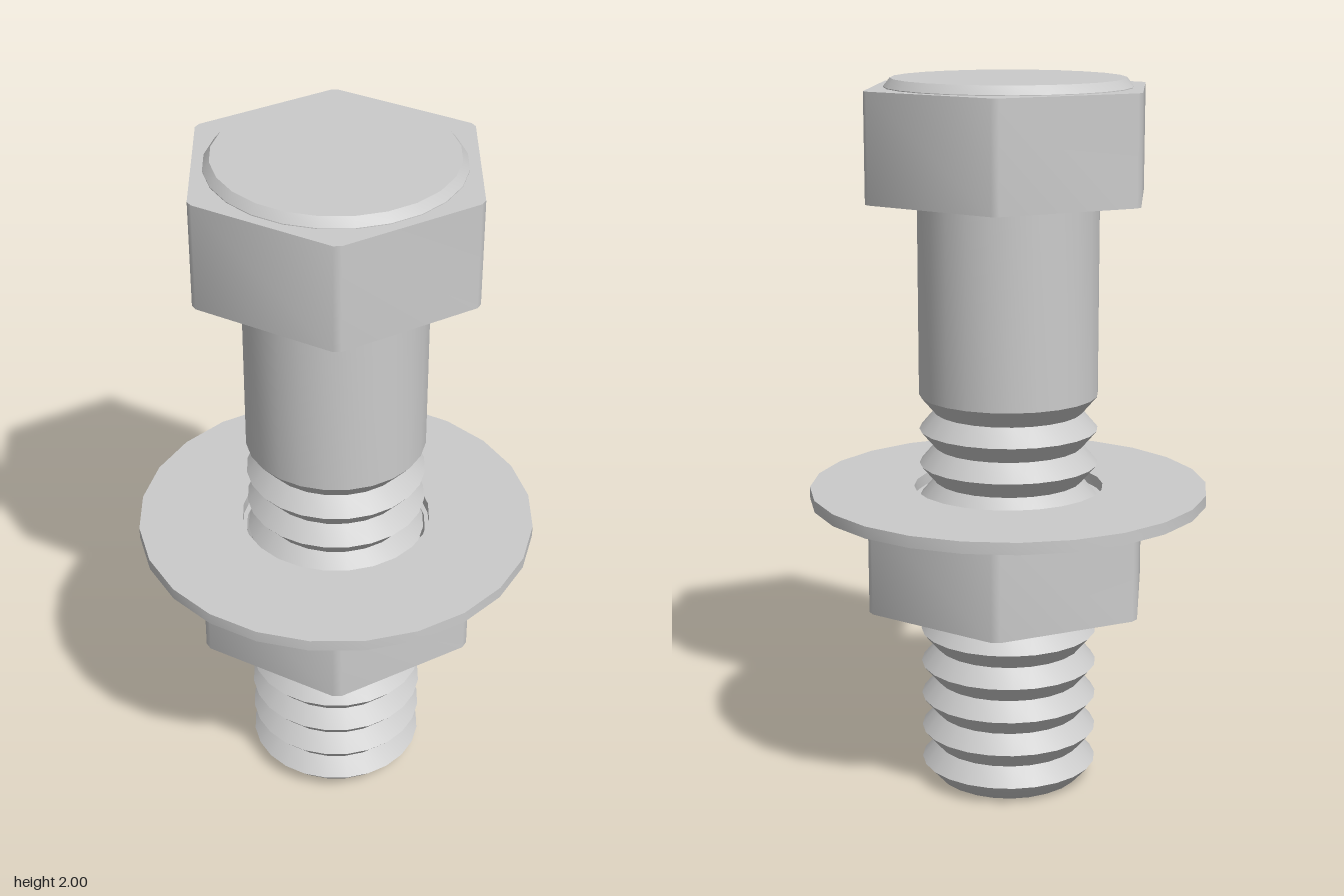
import * as THREE from 'three';
import { toCreasedNormals } from 'three/addons/utils/BufferGeometryUtils.js';

const SIDES = 24;
const OFFSET = Math.PI / SIDES;
const CREASE = 0.6;
const material = new THREE.MeshStandardMaterial({ color: 0xcccccc });

function part(name, geometry) {
  const mesh = new THREE.Mesh(toCreasedNormals(geometry, CREASE), material);
  mesh.name = name;
  return mesh;
}

// Turned part from [radius, y] pairs running upward on the outside
function turned(name, profile) {
  const points = profile.map(([r, y]) => new THREE.Vector2(r, y));
  return part(name, new THREE.LatheGeometry(points, SIDES, OFFSET));
}

// Hexagonal prism with slightly clipped corners and an optional round hole
function hexPrism(name, apothem, clip, y0, y1, holeRadius = 0) {
  const R = apothem / Math.cos(Math.PI / 6);
  const corner = (k) => new THREE.Vector2(R * Math.cos(k * Math.PI / 3), R * Math.sin(k * Math.PI / 3));
  const outline = [];
  for (let k = 0; k < 6; k++) {
    for (const next of [k - 1, k + 1]) outline.push(corner(k).lerp(corner(next), clip / R));
  }
  const shape = new THREE.Shape(outline);
  if (holeRadius) {
    const ring = [];
    for (let i = 0; i < SIDES; i++) {
      const a = OFFSET - i * 2 * OFFSET;
      ring.push(new THREE.Vector2(holeRadius * Math.cos(a), holeRadius * Math.sin(a)));
    }
    shape.holes.push(new THREE.Path(ring));
  }
  const geometry = new THREE.ExtrudeGeometry(shape, { depth: y1 - y0, bevelEnabled: false });
  geometry.rotateX(-Math.PI / 2).translate(0, y0, 0);
  return part(name, geometry);
}

export function createModel() {
  const group = new THREE.Group();
  group.name = 'boltWithNutAndWasher';

  // Shank: chamfered tip, ring threads, then the plain upper length
  const crest = 0.249, root = 0.207, pitch = 0.098, firstCrest = 0.056;
  const profile = [[0, 0], [0.19, 0], [0.205, 0.008]];
  for (let i = 0; i < 11; i++) {
    const y = firstCrest + i * pitch;
    profile.push([crest, y], [root, y + pitch / 2]);
  }
  profile.push([crest, firstCrest + 11 * pitch], [crest, 1.69]);
  group.add(turned('threadedShank', profile));

  // Head with its raised round cap
  group.add(hexPrism('boltHead', 0.363, 0.012, 1.68, 1.975));
  group.add(turned('headCap', [[0.336, 1.97], [0.336, 1.977], [0.318, 2], [0, 2]]));

  // Washer resting just above the nut
  group.add(turned('washer', [[0.265, 0.837], [0.557, 0.837], [0.557, 0.87], [0.265, 0.87], [0.265, 0.837]]));
  group.add(hexPrism('nut', 0.37, 0.014, 0.55, 0.831, 0.254));

  return group;
}
